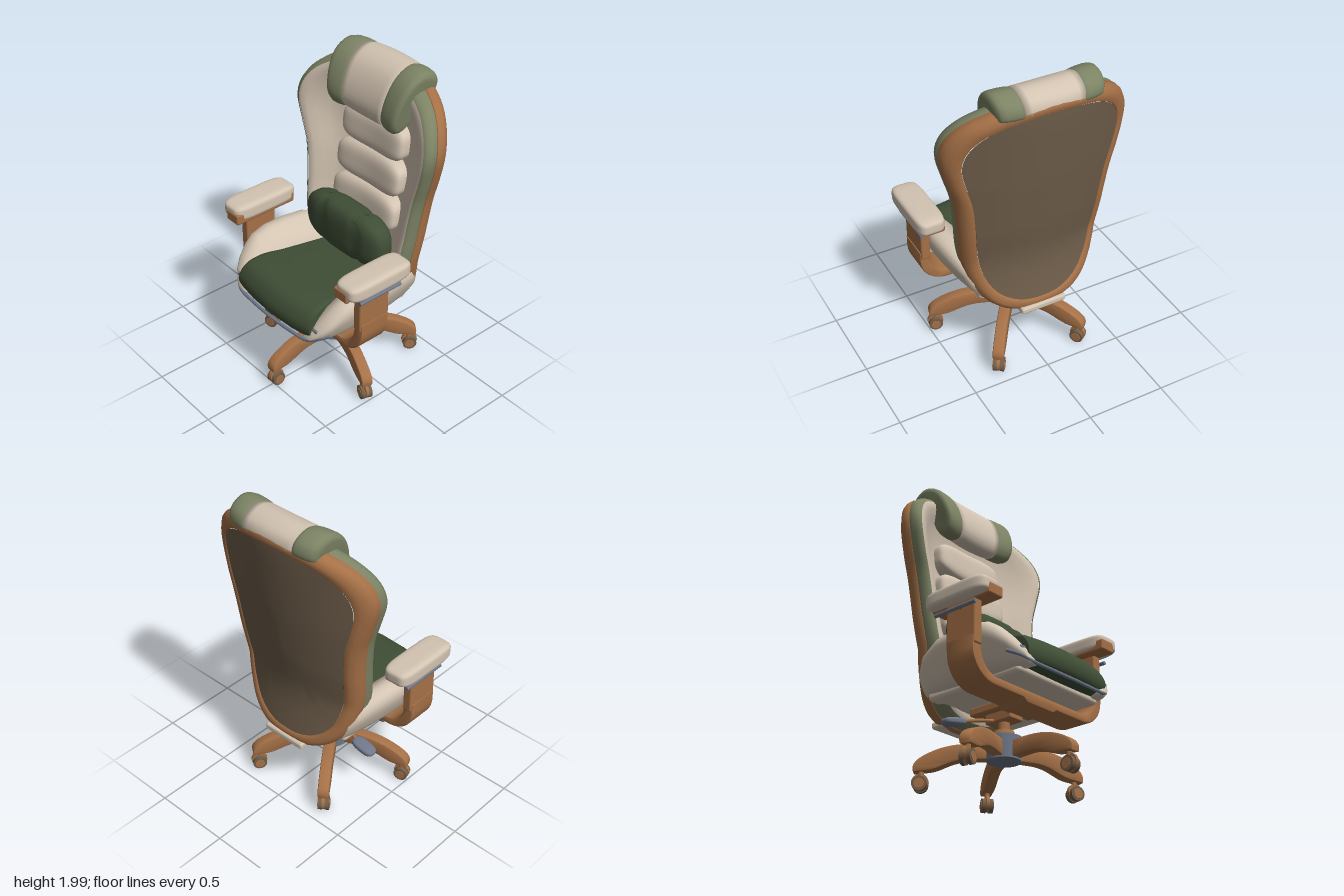
import * as THREE from 'three';
import { mergeVertices, toCreasedNormals } from 'three/addons/utils/BufferGeometryUtils.js';
import { RoundedBoxGeometry } from 'three/addons/geometries/RoundedBoxGeometry.js';

const V = (x, y, z) => new THREE.Vector3(x, y, z);
const mat = (name, color) => Object.assign(new THREE.MeshStandardMaterial({ color }), { name });

// Piecewise interpolation in a table of [key, value] rows, keys rising
function lookup(table, k) {
  if (k <= table[0][0]) return table[0][1];
  for (let i = 1; i < table.length; i++) {
    const [a, u] = table[i - 1], [b, v] = table[i];
    if (k <= b) return u + (v - u) * (k - a) / (b - a);
  }
  return table[table.length - 1][1];
}

// Smooth closed loop through a few points
function loop(points, n) {
  return new THREE.CatmullRomCurve3(points, true).getPoints(n).slice(0, n);
}

// Skin over closed rings of equal length, with optional closed ends
function loft(rings, capped = false) {
  const centre = r => {
    const c = r.reduce((s, p) => s.add(p), V(0, 0, 0)).divideScalar(r.length);
    return r.map(() => c);
  };
  const all = capped ? [centre(rings[0]), ...rings, centre(rings[rings.length - 1])] : rings;
  const n = all[0].length, index = [];
  for (let i = 0; i < all.length - 1; i++) for (let j = 0; j < n; j++) {
    const k = (j + 1) % n, a = i * n + j, b = i * n + k;
    index.push(a, b, a + n, b, b + n, a + n);
  }
  const g = new THREE.BufferGeometry().setFromPoints(all.flat());
  g.setIndex(index);
  g.computeVertexNormals();
  return g;
}

// Puffy cushion: a sphere squared off by the power n, then warped
function pillow(w, h, d, n, warp) {
  let g = new THREE.SphereGeometry(1, 56, 36);
  g.deleteAttribute('uv');
  g.deleteAttribute('normal');
  g = mergeVertices(g, 1e-4);
  const pos = g.attributes.position, p = V(0, 0, 0);
  for (let i = 0; i < pos.count; i++) {
    p.fromBufferAttribute(pos, i);
    const s = Math.pow(Math.abs(p.x) ** n + Math.abs(p.y) ** n + Math.abs(p.z) ** n, -1 / n);
    p.multiplyScalar(s).multiply(V(w, h, d));
    if (warp) warp(p);
    pos.setXYZ(i, p.x, p.y, p.z);
  }
  g.computeVertexNormals();
  return g;
}

function mirrorX(geo) {
  const g = geo.clone().scale(-1, 1, 1), ix = g.index.array;
  for (let i = 0; i < ix.length; i += 3) [ix[i], ix[i + 1]] = [ix[i + 1], ix[i]];
  g.computeVertexNormals();
  return g;
}

export function createModel() {
  const root = new THREE.Group();
  root.name = 'officeChair';
  const beige = mat('beige leather', 0xd3c4b2), green = mat('dark green leather', 0x3f4e36);
  const sage = mat('sage leather', 0x7d8465), wood = mat('warm wood', 0xa67147);
  const taupe = mat('taupe panel', 0x6f5e4b), slate = mat('slate metal', 0x6f788a);

  const add = (name, geo, m, x = 0, y = 0, z = 0, parent = root) => {
    const mesh = new THREE.Mesh(geo, m);
    mesh.name = name;
    mesh.position.set(x, y, z);
    parent.add(mesh);
    return mesh;
  };
  const box = (w, h, d, r = 0.01) => new RoundedBoxGeometry(w, h, d, 3, r);
  const cyl = (r1, r2, h, n = 32) => new THREE.CylinderGeometry(r1, r2, h, n);

  // Backrest: one outline, inset and pushed forward ring by ring
  const half = [[0.16, 0.44], [0.3, 0.51], [0.39, 0.63], [0.44, 0.8], [0.462, 0.95], [0.476, 1.1],
    [0.5, 1.28], [0.54, 1.42], [0.577, 1.59], [0.55, 1.71], [0.47, 1.81], [0.33, 1.885], [0.15, 1.925]];
  const outline = loop([V(0, 0.425, 0), ...half.map(([x, y]) => V(x, y, 0)), V(0, 1.935, 0),
    ...half.slice().reverse().map(([x, y]) => V(-x, y, 0))], 112);
  const rear = [[0.42, -0.425], [0.48, -0.432], [0.66, -0.405], [0.82, -0.395], [1.03, -0.435],
    [1.4, -0.488], [1.8, -0.53], [1.94, -0.535]];
  const backRing = ([inset, depth, s = 1]) => outline.map(p => {
    const x = p.x * (1 - inset / 0.5) * s, y = 1.2 + (p.y - 1.2) * (1 - inset / 0.75) * s;
    return V(x, y, lookup(rear, y) + 0.52 * x * x + depth);
  });
  const backPart = (name, m, rings) => add(name, loft(rings.map(backRing)), m);
  backPart('backPanel', taupe, [0, 0.15, 0.3, 0.45, 0.6, 0.75, 0.9, 1].map(s => [0.078, 0.012, s]));
  backPart('backFrame', wood, [[0.078, 0.016], [0.07, 0.002], [0.035, 0], [0.01, 0.018], [0, 0.045], [0, 0.085], [0.012, 0.09]]);
  backPart('backSide', sage, [[0.014, 0.082], [0.004, 0.095], [0.004, 0.13], [0.014, 0.165], [0.032, 0.182]]);
  backPart('backLining', beige, [[0.03, 0.178], [0.05, 0.192], [0.08, 0.19], [0.12, 0.172], [0.17, 0.145],
    [0.17, 0.12, 0.8], [0.17, 0.11, 0.5], [0.17, 0.11, 0.25], [0.17, 0.11, 0]]);
  add('backLowerPatch', box(0.3, 0.045, 0.085, 0.015), beige, 0, 0.449, -0.402);

  // Padded rolls down the middle of the back
  [[1.505, 0.262, 0.118], [1.278, 0.275, 0.118], [1.048, 0.275, 0.118]].forEach(([y, w, h], i) => {
    const g = pillow(w, h, 0.08, 3.6, p => { p.z += 0.45 * p.x * p.x - 0.12 * p.y; });
    add('backRoll' + (i + 1), g, beige, 0, y, lookup(rear, y) + 0.145);
  });

  // Lumbar cushion with two stitched dents
  add('lumbarCushion', pillow(0.34, 0.168, 0.1, 3.2, p => {
    const dent = Math.exp(-(((Math.abs(p.x) - 0.145) / 0.022) ** 2));
    p.z -= 0.016 * dent * Math.sign(p.z);
    p.y *= 1 - 0.25 * p.x * p.x;
  }), green, 0, 0.917, -0.11);

  // Headrest draped over the top edge
  const drape = loop([[-0.525, 1.87], [-0.51, 1.945], [-0.41, 1.99], [-0.3, 1.945], [-0.225, 1.83], [-0.2, 1.7],
    [-0.235, 1.635], [-0.32, 1.65], [-0.37, 1.76], [-0.45, 1.84]].map(([z, y]) => V(0, y, z)), 48);
  const headRing = ([x, s]) => drape.map(p => V(x * (1 - 0.4 * (2 - p.y)),
    1.83 + (p.y - 1.83) * s, -0.36 + (p.z + 0.36) * s + 0.25 * x * x));
  add('headrestCentre', loft([[-0.2, 0.97], [-0.15, 0.995], [-0.08, 1.012], [0, 1.018],
    [0.08, 1.012], [0.15, 0.995], [0.2, 0.97]].map(headRing), true), beige);
  const headSide = loft([[0.18, 0.9], [0.187, 0.97], [0.21, 1.005], [0.25, 1.015], [0.295, 1],
    [0.32, 0.95], [0.333, 0.86], [0.337, 0.7]].map(headRing), true);
  add('headrestLeft', headSide, sage);
  add('headrestRight', mirrorX(headSide), sage);

  // Seat cushion, widening to the front
  const seat = loop([[-0.3, 0.55], [-0.3, 0.67], [-0.1, 0.7], [0.2, 0.732], [0.36, 0.747], [0.46, 0.72],
    [0.515, 0.64], [0.512, 0.575], [0.48, 0.543], [0.1, 0.53]].map(([z, y]) => V(0, y, z)), 60);
  const seatRing = ([x, s]) => seat.map(p => {
    const wide = x * (1 + 0.42 * p.z);
    return V(wide, 0.62 + (p.y - 0.62) * s, p.z - 0.3 * wide * wide * Math.max(0, p.z / 0.5));
  });
  add('seatCushion', loft([[-0.282, 0.8], [-0.275, 0.9], [-0.25, 0.97], [-0.15, 1], [0, 1.01],
    [0.15, 1], [0.25, 0.97], [0.275, 0.9], [0.282, 0.8]].map(seatRing), true), green);

  // Raised side bolsters: [z, height, inner x, outer x]
  const section = loop([[0, 0.02], [0.4, 0], [0.65, 0.1], [0.87, 0.4], [1, 0.74], [0.93, 0.92],
    [0.65, 1], [0.35, 0.88], [0, 0.52]].map(([x, y]) => V(x, y, 0)), 40);
  const bolster = loft([[-0.3, 0.17, 0.24, 0.4], [-0.24, 0.24, 0.24, 0.44], [-0.1, 0.292, 0.25, 0.48],
    [0.05, 0.3, 0.26, 0.497], [0.18, 0.298, 0.27, 0.497], [0.28, 0.275, 0.28, 0.487], [0.34, 0.235, 0.28, 0.47],
    [0.4, 0.175, 0.28, 0.445], [0.44, 0.125, 0.28, 0.415], [0.475, 0.075, 0.28, 0.37], [0.488, 0.03, 0.28, 0.34]]
    .map(([z, h, a, b]) => section.map(p => V(a + (b - a) * p.x, 0.53 + h * p.y, z))), true);
  add('bolsterLeft', bolster, beige);
  add('bolsterRight', mirrorX(bolster), beige);
  add('seatTray', box(0.7, 0.06, 0.7, 0.025), beige, 0, 0.53, 0.07);

  // Trim along the front lower edge of the seat
  const trim = [[0.43, 0.6, 0.4], [0.375, 0.575, 0.455], [0.32, 0.548, 0.485], [0.17, 0.538, 0.5]];
  const trimCurve = new THREE.CatmullRomCurve3([...trim.map(p => V(...p)), V(0, 0.536, 0.505),
    ...trim.slice().reverse().map(([x, y, z]) => V(-x, y, z))]);
  add('seatTrim', new THREE.TubeGeometry(trimCurve, 48, 0.011, 8), slate);

  // U-shaped arm frame passing under the seat
  const u = new THREE.Shape();
  u.moveTo(0.557, 0.68);
  u.lineTo(0.557, 0.63);
  u.bezierCurveTo(0.557, 0.53, 0.48, 0.453, 0.38, 0.453);
  u.lineTo(0.14, 0.453); u.lineTo(0.11, 0.432); u.lineTo(-0.11, 0.432); u.lineTo(-0.14, 0.453);
  u.lineTo(-0.38, 0.453);
  u.bezierCurveTo(-0.48, 0.453, -0.557, 0.53, -0.557, 0.63);
  u.lineTo(-0.557, 0.68); u.lineTo(-0.505, 0.68); u.lineTo(-0.505, 0.63);
  u.bezierCurveTo(-0.505, 0.55, -0.44, 0.485, -0.36, 0.485);
  u.lineTo(0.36, 0.485);
  u.bezierCurveTo(0.44, 0.485, 0.505, 0.55, 0.505, 0.63);
  u.lineTo(0.505, 0.68);
  const bevel = { bevelThickness: 0.01, bevelSize: 0.009, bevelSegments: 2, curveSegments: 14 };
  add('armFrame', toCreasedNormals(new THREE.ExtrudeGeometry(u, { depth: 0.18, ...bevel }), 0.6), wood, 0, 0, 0.09);

  for (const [side, s] of [['Left', 1], ['Right', -1]]) {
    add('armPost' + side, box(0.06, 0.28, 0.22, 0.012), wood, s * 0.53, 0.78, 0.178);
    add('armPlate' + side, box(0.112, 0.07, 0.44, 0.012), wood, s * 0.504, 0.938, 0.175);
    add('armPad' + side, pillow(0.09, 0.053, 0.23, 5), beige, s * 0.53, 0.966, 0.16);
    add('armLever' + side, cyl(0.012, 0.012, 0.31, 12).rotateX(Math.PI / 2), slate, s * 0.578, 0.874, 0.155);
    add('armLeverPin' + side, cyl(0.008, 0.008, 0.05, 10).rotateZ(Math.PI / 2), slate, s * 0.56, 0.874, 0.18);
    add('seatClip' + side, box(0.045, 0.06, 0.04, 0.01), slate, s * 0.36, 0.605, 0.445);
  }

  // Tilt mechanism, post and height lever
  add('mechanismPlate', box(0.2, 0.05, 0.44), wood, 0, 0.478, 0.04);
  add('mechanismBody', box(0.11, 0.08, 0.2), wood, 0, 0.435, 0);
  add('post', cyl(0.035, 0.035, 0.15), wood, 0, 0.37, 0);
  add('postCollar', cyl(0.06, 0.07, 0.045), wood, 0, 0.32, 0);
  const rod = new THREE.CatmullRomCurve3([V(-0.03, 0.41, -0.03), V(-0.14, 0.39, -0.06), V(-0.28, 0.35, -0.08)]);
  add('heightRod', new THREE.TubeGeometry(rod, 16, 0.011, 10), wood);
  add('heightHandle', pillow(0.082, 0.024, 0.045, 3), slate, -0.332, 0.332, -0.08).rotation.z = 0.2;

  // Five-legged base on casters
  add('hub', cyl(0.108, 0.1, 0.14), slate, 0, 0.232, 0);
  const leg = new THREE.Shape();
  leg.moveTo(0.06, 0.18);
  leg.lineTo(0.2, 0.185);
  leg.bezierCurveTo(0.32, 0.185, 0.36, 0.13, 0.44, 0.128);
  leg.lineTo(0.51, 0.122);
  leg.bezierCurveTo(0.52, 0.16, 0.49, 0.185, 0.44, 0.21);
  leg.bezierCurveTo(0.37, 0.245, 0.3, 0.262, 0.2, 0.262);
  leg.lineTo(0.06, 0.262);
  const legGeo = toCreasedNormals(new THREE.ExtrudeGeometry(leg, { depth: 0.05, ...bevel }).translate(0, 0, -0.025), 0.6);
  const wheel = cyl(0.044, 0.044, 0.024, 24).rotateX(Math.PI / 2);
  const hood = cyl(0.05, 0.05, 0.02, 24).rotateX(Math.PI / 2);
  for (let k = 0; k < 5; k++) {
    const g = new THREE.Group();
    g.name = 'baseLeg' + (k + 1);
    g.rotation.y = -Math.PI / 2 + k * Math.PI * 0.4;
    add('leg', legGeo, wood, 0, 0, 0, g);
    add('casterStem', cyl(0.016, 0.016, 0.05, 14), wood, 0.475, 0.105, 0, g);
    add('casterHood', hood, wood, 0.48, 0.056, 0, g);
    for (const s of [-1, 1]) {
      add('casterWheel', wheel, taupe, 0.48, 0.044, s * 0.022, g);
      add('casterCap', cyl(0.03, 0.03, 0.006, 20).rotateX(Math.PI / 2), wood, 0.48, 0.044, s * 0.035, g);
    }
    root.add(g);
  }
  return root;
}
